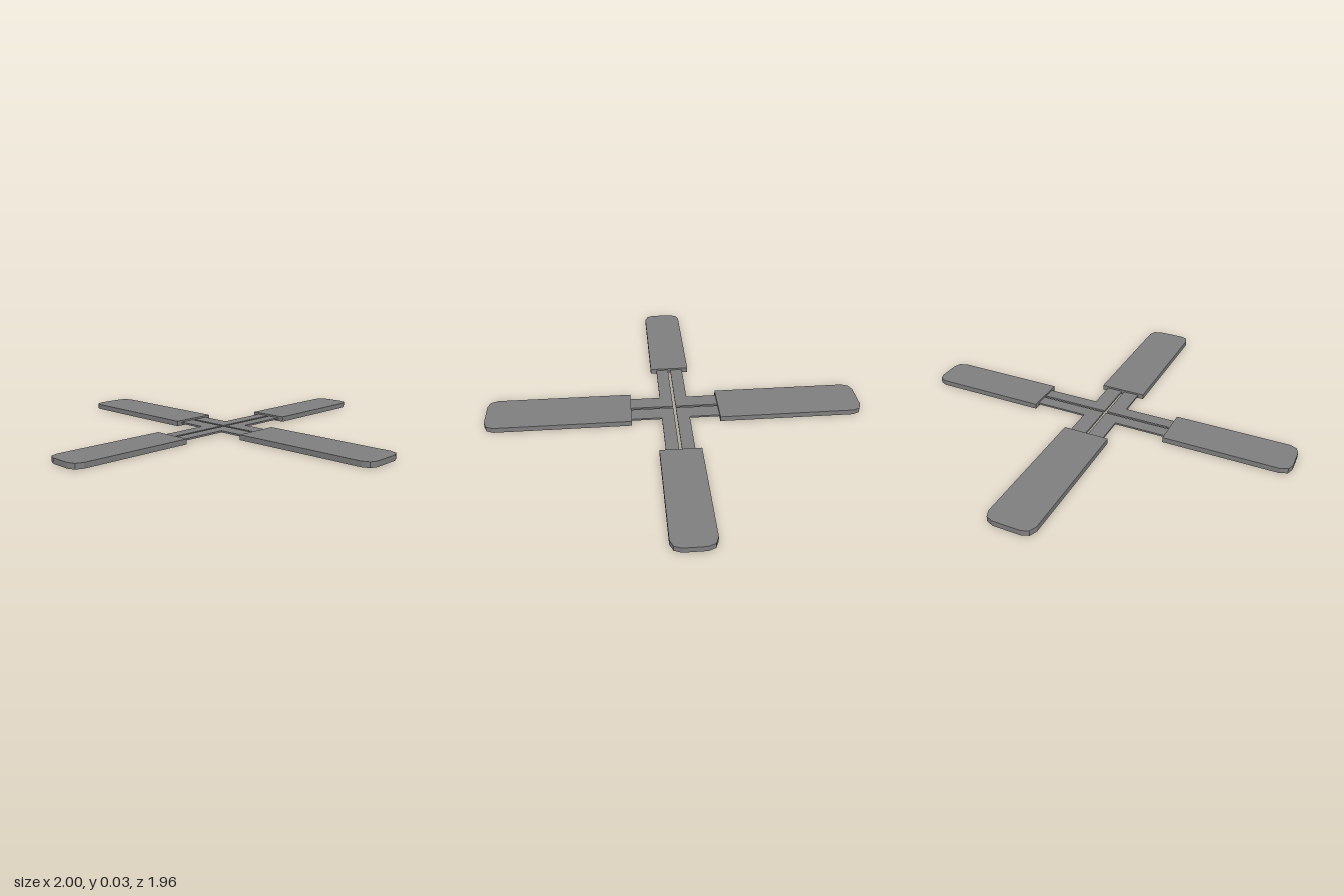
import * as THREE from 'three';

const BLADE_HEIGHT = 0.027;
const PLATE_HEIGHT = 0.009;
const SLIT = 0.007; // half the gap between the hub plates

// Flat outline (x, z) extruded upwards from y = 0
function slab(points, height) {
  const shape = new THREE.Shape(points.map(([x, z]) => new THREE.Vector2(x, -z)));
  const geometry = new THREE.ExtrudeGeometry(shape, { depth: height, bevelEnabled: false });
  return geometry.rotateX(-Math.PI / 2);
}

// Blade along +z with clipped, rounded outer corners
function bladeGeometry(halfWidth, inner, outer) {
  const side = [
    [halfWidth, inner],
    [halfWidth, outer - 0.05],
    [halfWidth - 0.015, outer - 0.014],
    [halfWidth - 0.05, outer],
  ];
  const mirrored = side.map(([x, z]) => [-x, z]).reverse();
  return slab([...side, ...mirrored], BLADE_HEIGHT);
}

export function createModel() {
  const model = new THREE.Group();
  model.name = 'crossBlades';
  const grey = new THREE.MeshStandardMaterial({ color: 0x808080 });
  grey.name = 'grey';

  function add(name, geometry, y = 0, turn = 0) {
    const mesh = new THREE.Mesh(geometry, grey);
    mesh.name = name;
    mesh.position.y = y;
    mesh.rotation.y = turn;
    model.add(mesh);
  }

  // Four blades: the front and back pair is wider and longer
  const longBlade = bladeGeometry(0.12, 0.228, 0.98);
  const sideBlade = bladeGeometry(0.104, 0.362, 1);
  add('frontBlade', longBlade);
  add('backBlade', longBlade, 0, Math.PI);
  add('leftBlade', sideBlade, 0, Math.PI / 2);
  add('rightBlade', sideBlade, 0, -Math.PI / 2);

  // Four thin L-shaped hub plates, separated by a cross-shaped slit
  for (const sx of [1, -1]) {
    for (const sz of [1, -1]) {
      const corner = [
        [SLIT, SLIT], [0.365, SLIT], [0.365, 0.072],
        [0.09, 0.072], [0.09, 0.232], [SLIT, 0.232],
      ].map(([x, z]) => [x * sx, z * sz]);
      const name = (sz > 0 ? 'front' : 'back') + (sx > 0 ? 'Left' : 'Right') + 'HubPlate';
      add(name, slab(corner, PLATE_HEIGHT), 0.009);
    }
  }

  return model;
}
